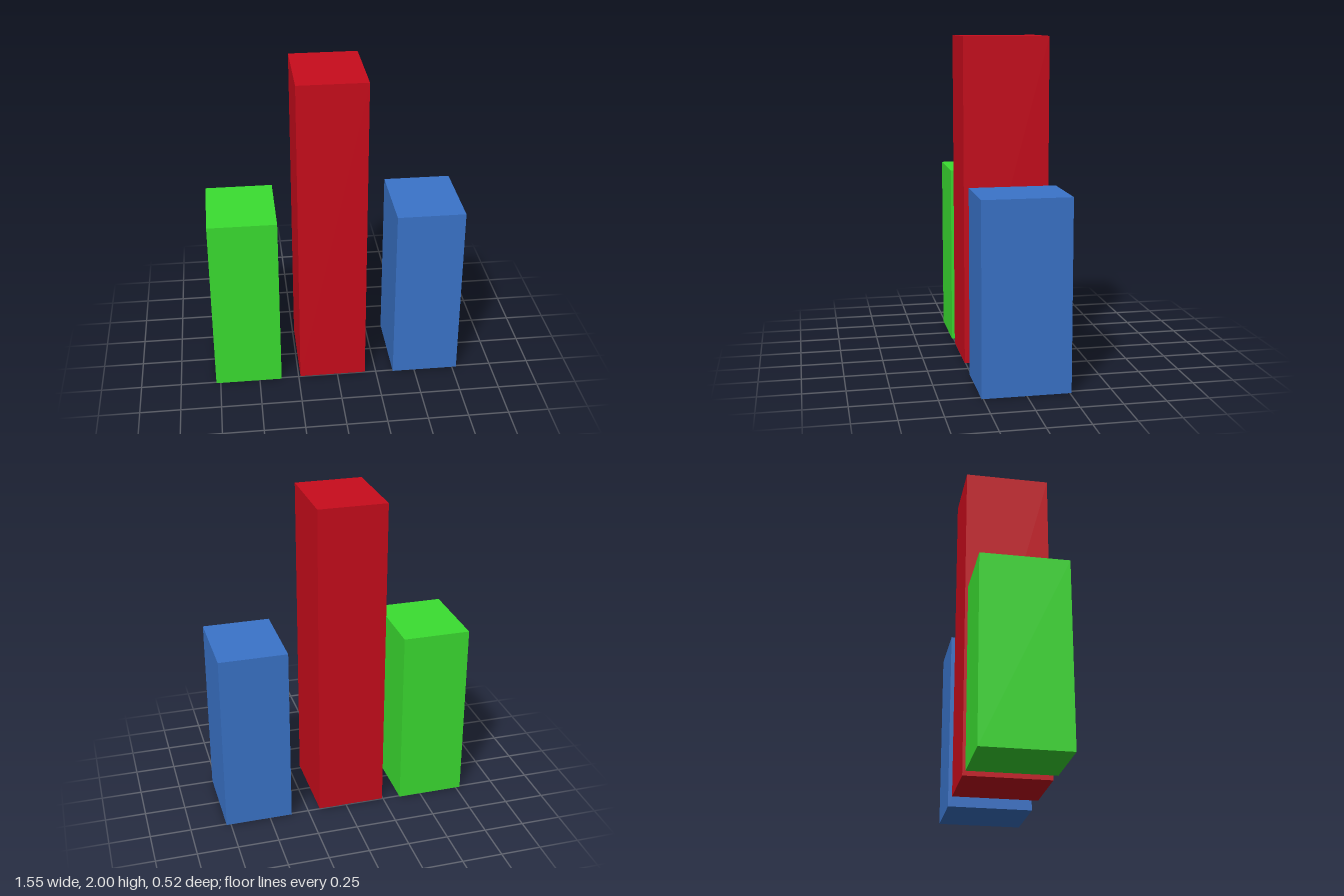
import * as THREE from 'three';

const WIDTH = 0.417;
const DEPTH = 0.52;

// Rectangular column spanning bottom..top, centred on x
function column(name, color, x, bottom, top) {
  const height = top - bottom;
  const mesh = new THREE.Mesh(
    new THREE.BoxGeometry(WIDTH, height, DEPTH),
    new THREE.MeshStandardMaterial({ color })
  );
  mesh.name = name;
  mesh.position.set(x, bottom + height / 2, 0);
  return mesh;
}

export function createModel() {
  const group = new THREE.Group();
  group.name = 'threeColumns';
  group.add(
    column('rightColumn', 0x3bde31, -0.569, 0, 1.132),
    // Tall middle column, slightly off centre and just above the ground
    column('middleColumn', 0xc90c1c, -0.031, 0.01, 2),
    column('leftColumn', 0x3a74ca, 0.569, 0, 1.132)
  );
  return group;
}
